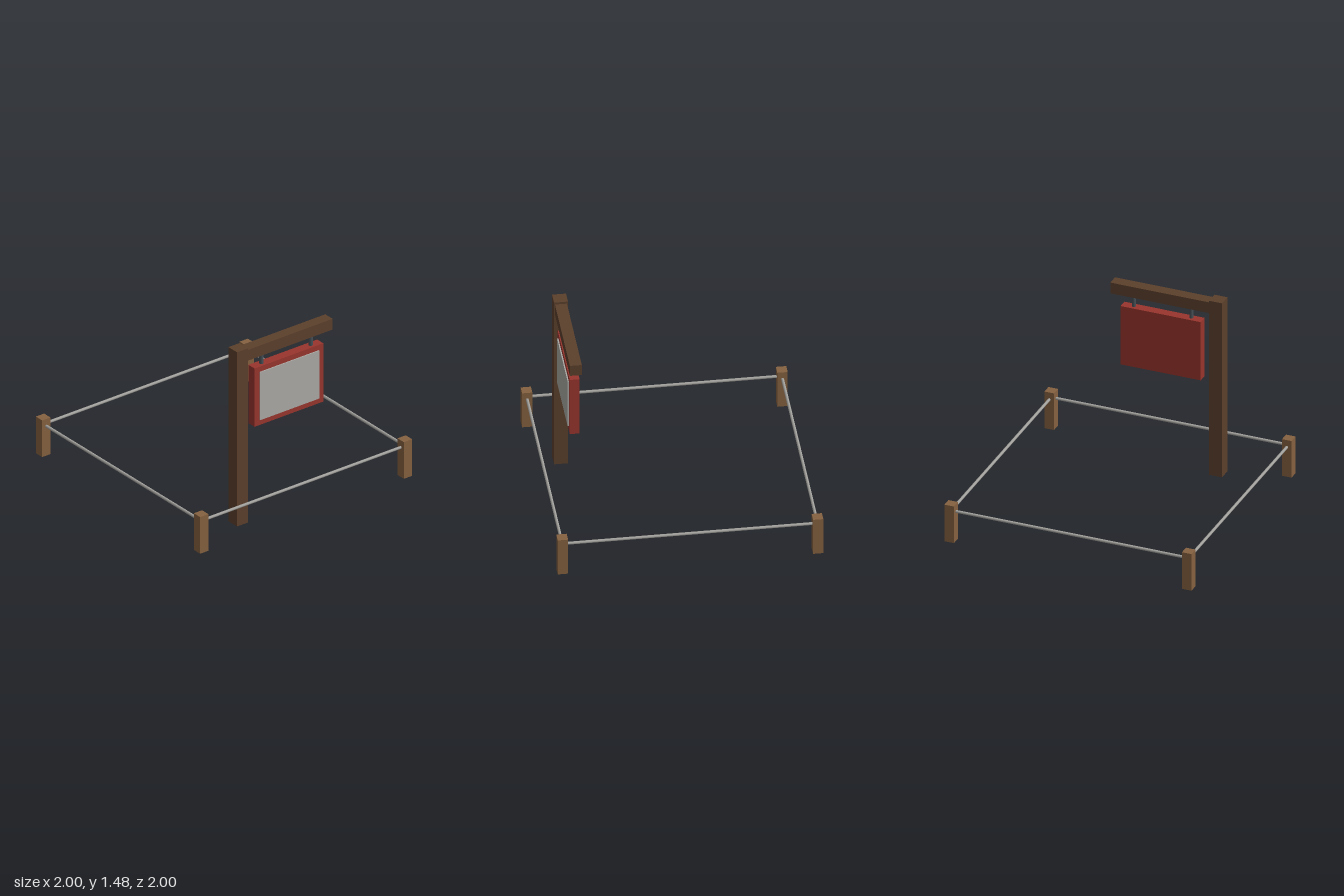
import * as THREE from 'three';

const material = (color) => new THREE.MeshStandardMaterial({ color });

export function createModel() {
  const model = new THREE.Group();
  const darkWood = material(0x5c402c);
  const lightWood = material(0x856140);
  const red = material(0x98352d);
  const panelGrey = material(0xaaa9a5);
  const railGrey = material(0xa3a29e);
  const iron = material(0x465056);

  function add(name, geometry, mat, x, y, z) {
    const mesh = new THREE.Mesh(geometry, mat);
    mesh.name = name;
    mesh.position.set(x, y, z);
    model.add(mesh);
    return mesh;
  }
  // Box given by its lower and upper limits on each axis
  const box = (name, mat, [x0, x1], [y0, y1], [z0, z1]) =>
    add(name, new THREE.BoxGeometry(x1 - x0, y1 - y0, z1 - z0), mat,
      (x0 + x1) / 2, (y0 + y1) / 2, (z0 + z1) / 2);

  // Sign post and its arm
  box('signPost', darkWood, [-0.52, -0.415], [0, 1.475], [0.725, 0.83]);
  box('signArm', darkWood, [-0.467, 0.387], [1.366, 1.457], [0.733, 0.823]);

  // Hanging board with a face panel standing slightly proud of its front
  box('signBoard', red, [-0.342, 0.307], [0.778, 1.272], [0.738, 0.813]);
  box('signPanel', panelGrey, [-0.297, 0.263], [0.823, 1.228], [0.8, 0.823]);

  // Hangers between arm and board
  for (const x of [-0.25, 0.215]) {
    add('hanger', new THREE.CylinderGeometry(0.016, 0.016, 0.13, 8), iron, x, 1.32, 0.777);
  }

  // Corner stakes
  const edge = 0.961;
  for (const sx of [-1, 1]) {
    for (const sz of [-1, 1]) {
      add('cornerStake', new THREE.BoxGeometry(0.078, 0.31, 0.078), lightWood, sx * edge, 0.155, sz * edge);
    }
  }

  // Rails around the plot
  const railGeometry = new THREE.CylinderGeometry(0.0115, 0.0115, edge * 2, 8);
  for (const s of [-1, 1]) {
    add('crossRail', railGeometry, railGrey, 0, 0.25, s * edge).rotation.z = Math.PI / 2;
    add('sideRail', railGeometry, railGrey, s * edge, 0.25, 0).rotation.x = Math.PI / 2;
  }

  return model;
}
